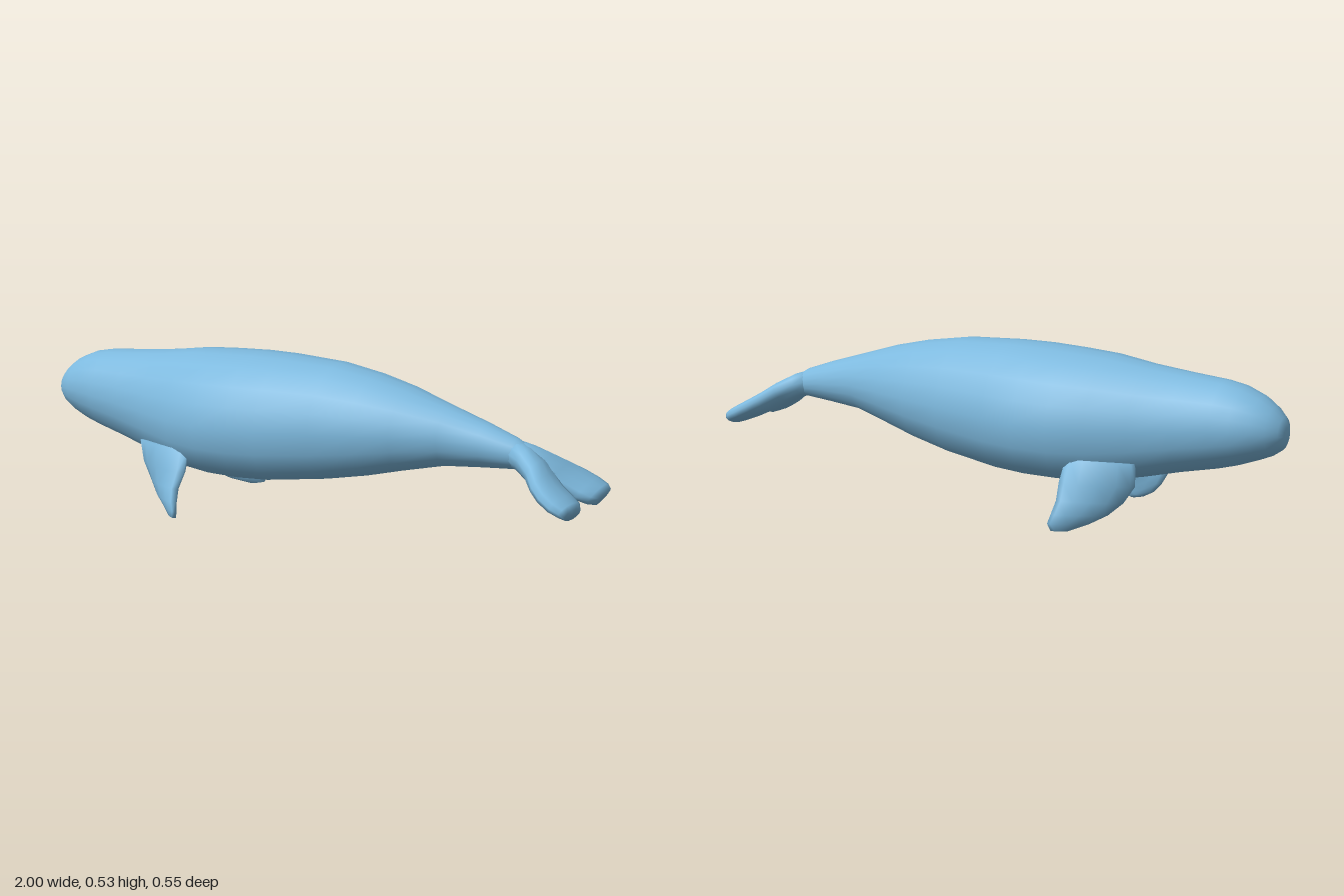
import * as THREE from 'three';

// Skin a list of equal-length closed rings of Vector3, cap both ends, face outwards
function loft(rings) {
  const n = rings[0].length, pos = [], idx = [];
  rings.forEach(r => r.forEach(p => pos.push(p.x, p.y, p.z)));
  for (let i = 0; i < rings.length - 1; i++) {
    for (let j = 0; j < n; j++) {
      const a = i * n + j, b = i * n + (j + 1) % n;
      idx.push(a, b, a + n, b, b + n, a + n);
    }
  }
  [0, rings.length - 1].forEach((k, end) => {
    const c = rings[k].reduce((s, p) => s.add(p), new THREE.Vector3()).divideScalar(n);
    const ci = pos.length / 3;
    pos.push(c.x, c.y, c.z);
    for (let j = 0; j < n; j++) {
      const a = k * n + j, b = k * n + (j + 1) % n;
      if (end) idx.push(ci, a, b); else idx.push(ci, b, a);
    }
  });
  // Signed volume decides the winding
  const v = i => new THREE.Vector3().fromArray(pos, i * 3);
  let volume = 0;
  for (let i = 0; i < idx.length; i += 3) volume += v(idx[i]).dot(v(idx[i + 1]).cross(v(idx[i + 2])));
  if (volume < 0) idx.reverse();
  const g = new THREE.BufferGeometry();
  g.setAttribute('position', new THREE.Float32BufferAttribute(pos, 3));
  g.setIndex(idx);
  g.computeVertexNormals();
  return g;
}

// Lens-shaped ring between two edge points, thickened along a normal
function lens(a, b, normal, half, n = 12) {
  const mid = a.clone().add(b).multiplyScalar(0.5), arm = b.clone().sub(a).multiplyScalar(0.5);
  return Array.from({ length: n }, (_, i) => {
    const t = i / n * Math.PI * 2;
    return mid.clone().addScaledVector(arm, Math.cos(t)).addScaledVector(normal, Math.sin(t) * half);
  });
}

const V = (x, y, z) => new THREE.Vector3(x, y, z);

// Half of the body section: sideways fraction, height fraction
const SECTION = [[0, 1], [0.26, 0.985], [0.53, 0.915], [0.77, 0.785], [0.91, 0.63],
  [1, 0.46], [0.95, 0.27], [0.83, 0.11], [0.6, 0.025], [0.32, 0], [0, 0]];

function bodyRing([x, top, bottom, w, round]) {
  const half = SECTION.map(([s, h], i) => {
    const a = i / (SECTION.length - 1) * Math.PI;
    const side = THREE.MathUtils.lerp(s, Math.sin(a), round);
    const height = THREE.MathUtils.lerp(h, 0.5 + 0.5 * Math.cos(a), round);
    return V(x, bottom + (top - bottom) * height, w * side);
  });
  const other = half.slice(1, -1).reverse().map(p => V(p.x, p.y, -p.z));
  return [...half, ...other];
}

export function createModel() {
  const group = new THREE.Group();
  const skin = new THREE.MeshStandardMaterial({ color: 0x7db9de });
  skin.name = 'blue skin';
  const add = (name, geometry) => {
    const mesh = new THREE.Mesh(geometry, skin);
    mesh.name = name;
    group.add(mesh);
  };

  // Body: x, top, bottom, half width, roundness of section
  add('body', loft([
    [-1, 0.355, 0.305, 0.025, 1], [-0.99, 0.385, 0.285, 0.053, 1], [-0.96, 0.415, 0.264, 0.082, 1],
    [-0.92, 0.443, 0.247, 0.106, 0.9], [-0.86, 0.468, 0.225, 0.125, 0.8], [-0.8, 0.48, 0.209, 0.134, 0.7],
    [-0.68, 0.491, 0.185, 0.151, 0.5], [-0.55, 0.505, 0.155, 0.172, 0.3], [-0.42, 0.524, 0.136, 0.212, 0.1],
    [-0.3, 0.532, 0.131, 0.234, 0], [-0.18, 0.538, 0.132, 0.238, 0], [-0.07, 0.539, 0.138, 0.224, 0],
    [0.12, 0.532, 0.162, 0.197, 0.15], [0.26, 0.511, 0.19, 0.172, 0.3], [0.38, 0.484, 0.22, 0.143, 0.5],
    [0.52, 0.442, 0.252, 0.092, 0.7], [0.65, 0.403, 0.264, 0.066, 0.9], [0.75, 0.369, 0.272, 0.045, 1],
    [0.81, 0.333, 0.264, 0.035, 1], [0.88, 0.275, 0.225, 0.02, 1],
  ].map(bodyRing)));

  for (const [side, s] of [['right', -1], ['left', 1]]) {
    // The head faces -x, so the animal's own left lies on +z
    // Tail fluke: x, inner z, outer z, centre y, half thickness
    const up = V(0.45, 0.89, 0);
    add(side + 'Fluke', loft([
      [0.74, -0.04, 0.043, 0.32, 0.042], [0.78, -0.04, 0.06, 0.308, 0.042], [0.83, -0.04, 0.1, 0.284, 0.038],
      [0.87, -0.025, 0.147, 0.256, 0.034], [0.905, -0.002, 0.173, 0.235, 0.032],
      [0.945, 0.012, 0.186, 0.214, 0.03], [0.975, 0.03, 0.182, 0.2, 0.027], [0.99, 0.06, 0.168, 0.191, 0.022],
    ].map(([x, zi, zo, y, t]) =>
      lens(V(x, y - 0.005, s * zi), V(x, y + 0.008, s * zo), up, t))));

    // Flipper: leading edge xyz, trailing edge xyz, half thickness
    const out = V(0.45, -0.1, -0.89 * s);
    add(side + 'Flipper', loft([
      [-0.57, 0.22, 0.14, -0.35, 0.22, 0.18, 0.035], [-0.565, 0.145, 0.13, -0.345, 0.15, 0.215, 0.032],
      [-0.53, 0.09, 0.138, -0.352, 0.1, 0.245, 0.026], [-0.49, 0.052, 0.163, -0.345, 0.06, 0.266, 0.022],
      [-0.44, 0.024, 0.192, -0.338, 0.032, 0.276, 0.016], [-0.39, 0.005, 0.235, -0.345, 0.008, 0.267, 0.01],
    ].map(([x, y, z, x2, y2, z2, t]) => lens(V(x, y, s * z), V(x2, y2, s * z2), out, t))));
  }
  return group;
}
